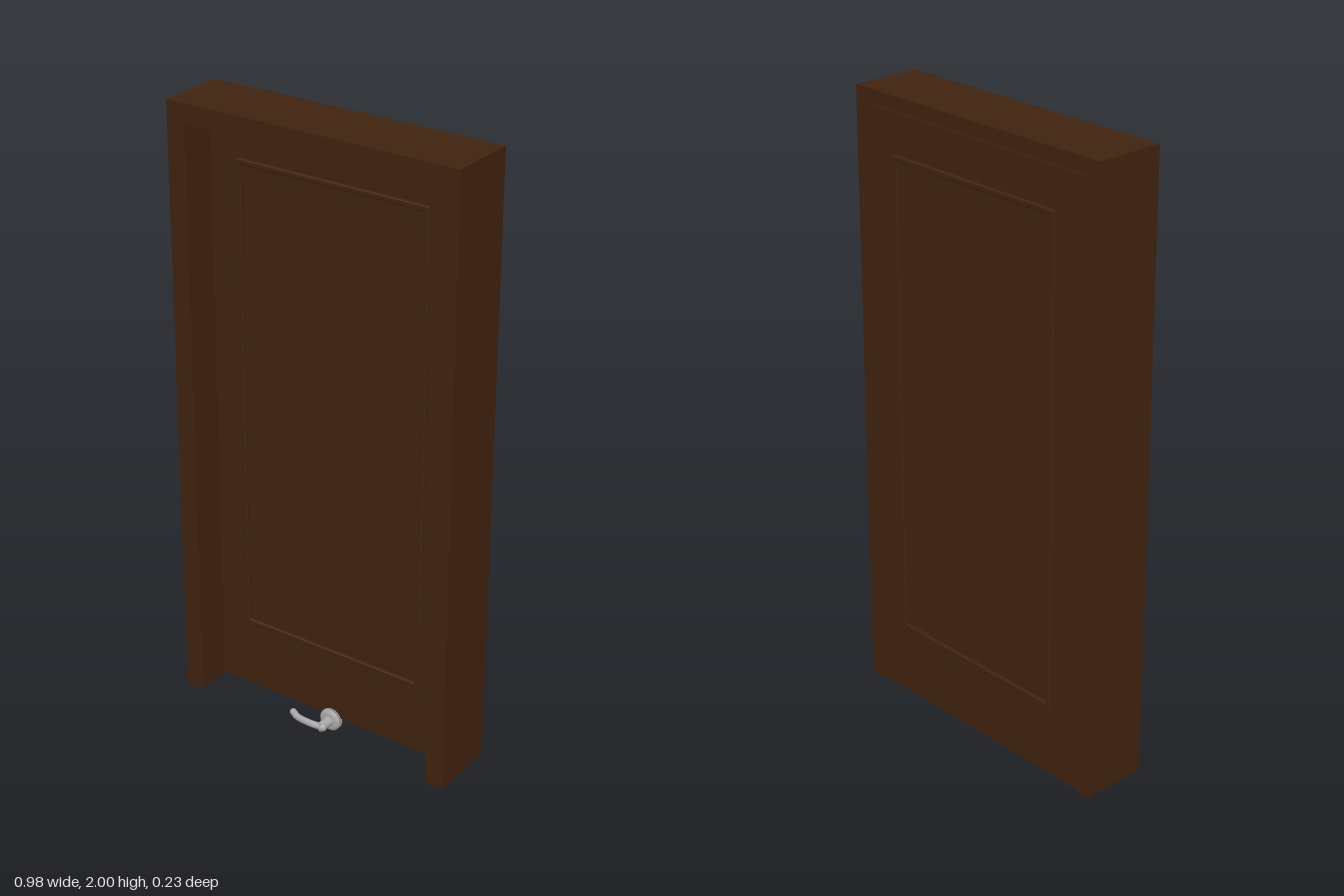
import * as THREE from 'three';

const wood = new THREE.MeshStandardMaterial({ color: 0x40230f });
wood.name = 'dark wood';
const metal = new THREE.MeshStandardMaterial({ color: 0xa8a8a8 });
metal.name = 'brushed metal';

function add(parent, name, geometry, material) {
  const mesh = new THREE.Mesh(geometry, material);
  mesh.name = name;
  parent.add(mesh);
  return mesh;
}

function polygon(Type, points) {
  return new Type(points.map(([x, y]) => new THREE.Vector2(x, y)));
}

// Three-sided door frame: two jambs joined by a head, between z0 and z1
function frameSection(halfOpening, openingTop, z0, z1) {
  const w = 0.488, bottom = 0.045, top = 2;
  const shape = polygon(THREE.Shape, [
    [-w, bottom], [-halfOpening, bottom], [-halfOpening, openingTop],
    [halfOpening, openingTop], [halfOpening, bottom], [w, bottom], [w, top], [-w, top],
  ]);
  const geometry = new THREE.ExtrudeGeometry(shape, { depth: z1 - z0, bevelEnabled: false });
  return geometry.translate(0, 0, z0);
}

// Rectangular picture-frame moulding with chamfered edges
function moulding(z0, z1) {
  const rect = (inset) => {
    const x = 0.329 - inset, y0 = 0.28 + inset, y1 = 1.828 - inset;
    return [[-x, y0], [x, y0], [x, y1], [-x, y1]];
  };
  const c = 0.003;
  const shape = polygon(THREE.Shape, rect(c));
  shape.holes.push(polygon(THREE.Path, rect(0.017 - c).reverse()));
  const geometry = new THREE.ExtrudeGeometry(shape, {
    depth: z1 - z0 - 2 * c, bevelEnabled: true, bevelSize: c, bevelThickness: c, bevelSegments: 1,
  });
  return geometry.translate(0, 0, z0 + c);
}

// Rose, neck and curved lever on one side of the door (side = 1 front, -1 back)
function handle(side) {
  const group = new THREE.Group();
  group.name = side > 0 ? 'frontHandle' : 'backHandle';

  const profile = [[0, 0.016], [0.022, 0.016], [0.032, 0.013], [0.037, 0.008], [0.037, 0], [0, 0]]
    .reverse().map(([r, h]) => new THREE.Vector2(r, h));
  const rose = add(group, 'rose', new THREE.LatheGeometry(profile, 32), metal);
  rose.rotation.x = side * Math.PI / 2;

  const neck = add(group, 'neck', new THREE.CylinderGeometry(0.014, 0.018, 0.05, 24), metal);
  neck.rotation.x = side * Math.PI / 2;
  neck.position.z = side * 0.035;

  const path = new THREE.CatmullRomCurve3([
    [0.004, 0, 0.052], [-0.025, 0.001, 0.058], [-0.06, 0, 0.057], [-0.095, -0.002, 0.05], [-0.12, 0, 0.038],
  ].map(([x, y, z]) => new THREE.Vector3(x, y, side * z)));
  add(group, 'lever', new THREE.TubeGeometry(path, 24, 0.011, 12), metal);
  for (const [name, t] of [['leverTip', 1], ['leverHub', 0]]) {
    const cap = add(group, name, new THREE.SphereGeometry(t ? 0.011 : 0.0145, 16, 12), metal);
    cap.position.copy(path.getPoint(t));
  }
  group.position.y = 0.038;
  return group;
}

export function createModel() {
  const model = new THREE.Group();
  model.name = 'door';

  // Frame with a rebate behind the stop
  add(model, 'frameStop', frameSection(0.425, 1.938, -0.002, 0.112), wood);
  add(model, 'frameRebate', frameSection(0.442, 1.955, -0.11, -0.002), wood);

  // Door leaf
  const leaf = add(model, 'leaf', new THREE.BoxGeometry(0.876, 1.9, 0.102), wood);
  leaf.position.set(0, 1.0, -0.054);

  // Panel mouldings on both faces
  add(model, 'frontMoulding', moulding(-0.008, 0.007), wood);
  add(model, 'backMoulding', moulding(-0.116, -0.1), wood);

  // Lever handles
  model.add(handle(1), handle(-1));
  return model;
}
